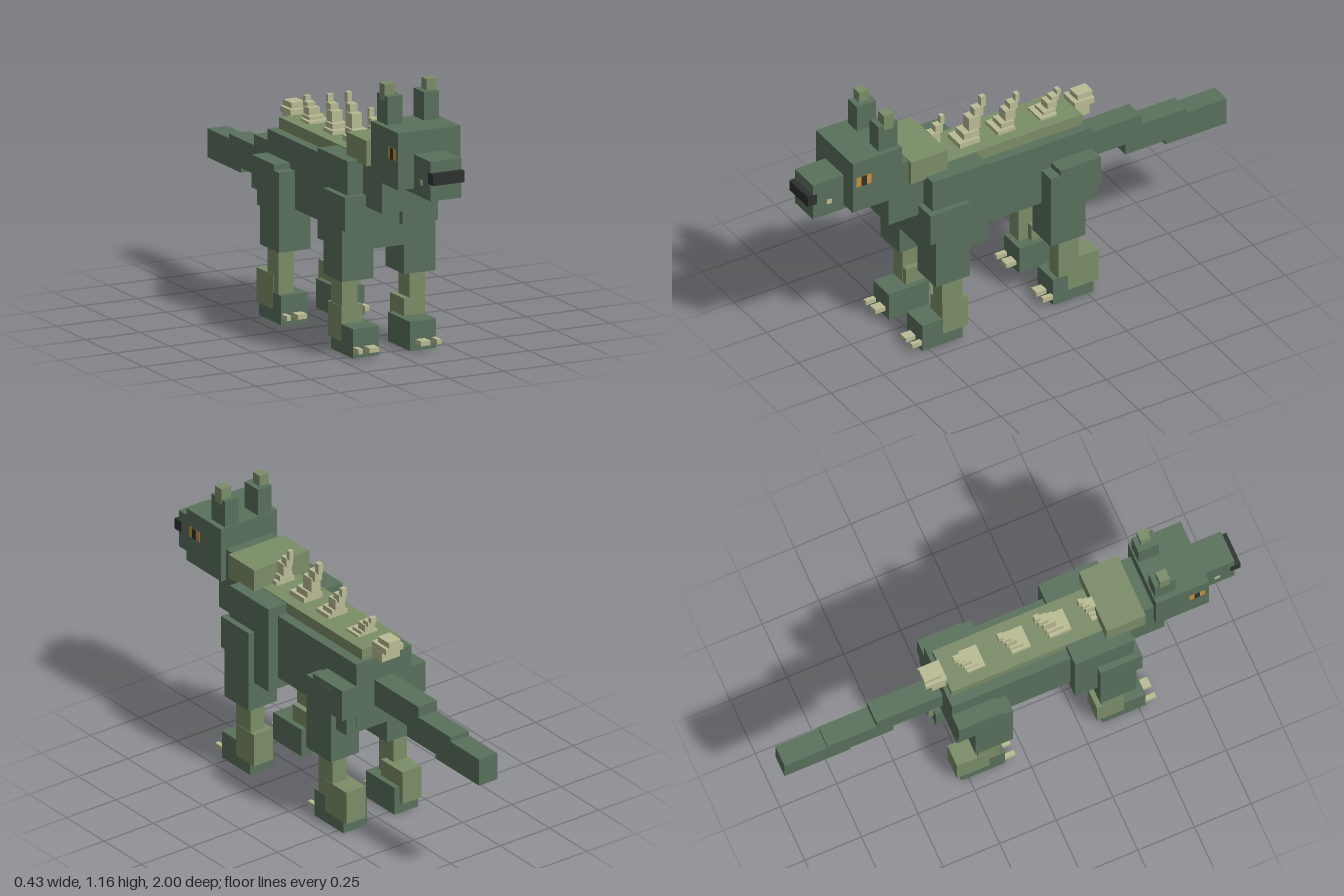
import * as THREE from 'three';

const mat = (name, color) => {
  const m = new THREE.MeshStandardMaterial({ color });
  m.name = name;
  return m;
};

export function createModel() {
  const model = new THREE.Group();
  model.name = 'wolfBeast';
  const fur = mat('darkGreenFur', 0x5a705c);
  const pale = mat('lightGreenFur', 0x7b8d68);
  const bone = mat('bone', 0xbabb94);
  const black = mat('black', 0x2d322e);
  const amber = mat('amber', 0xc8923a);

  // Box given by its min and max on each axis
  const box = (name, material, [x0, x1], [y0, y1], [z0, z1], parent = model) => {
    const mesh = new THREE.Mesh(new THREE.BoxGeometry(x1 - x0, y1 - y0, z1 - z0), material);
    mesh.position.set((x0 + x1) / 2, (y0 + y1) / 2, (z0 + z1) / 2);
    mesh.name = name;
    parent.add(mesh);
  };
  const mid = (name, material, half, y, z, parent) => box(name, material, [-half, half], y, z, parent);
  const pair = (name, material, [x0, x1], y, z) => {
    box(name + 'Left', material, [x0, x1], y, z);
    box(name + 'Right', material, [-x1, -x0], y, z);
  };

  // Head
  mid('head', fur, 0.142, [0.762, 1.0], [0.597, 0.83]);
  mid('snout', fur, 0.07, [0.74, 0.905], [0.692, 0.975]);
  mid('nose', black, 0.072, [0.81, 0.858], [0.957, 1.0]);
  pair('tooth', bone, [0.066, 0.072], [0.79, 0.812], [0.886, 0.91]);
  pair('eye', amber, [0.138, 0.143], [0.88, 0.926], [0.743, 0.812]);
  pair('pupil', black, [0.139, 0.144], [0.88, 0.926], [0.765, 0.789]);
  pair('ear', fur, [0.049, 0.118], [0.98, 1.118], [0.603, 0.693]);
  pair('earTip', pale, [0.073, 0.119], [1.095, 1.165], [0.624, 0.668]);

  // Neck and trunk
  mid('neck', fur, 0.118, [0.62, 0.903], [0.4, 0.645]);
  mid('mane', pale, 0.14, [0.8, 0.906], [0.38, 0.552]);
  mid('chest', fur, 0.188, [0.433, 0.81], [0.22, 0.48]);
  mid('belly', fur, 0.14, [0.483, 0.766], [-0.303, 0.25]);
  mid('pelvis', fur, 0.188, [0.455, 0.53], [-0.302, -0.1]);
  mid('backStripe', pale, 0.097, [0.75, 0.814], [-0.285, 0.39]);

  // Tail, stepping down toward the tip
  [[0.55, 0.667, -0.595, -0.29], [0.5, 0.62, -0.81, -0.52], [0.48, 0.6, -1.0, -0.71]].forEach(
    ([y0, y1, z0, z1], i) => mid('tail' + (i + 1), fur, 0.047 - i * 0.0005, [y0, y1], [z0, z1]));

  // Shoulders and hips
  pair('shoulder', fur, [0.049, 0.213], [0.525, 0.667], [0.318, 0.505]);
  pair('frontThigh', fur, [0.07, 0.214], [0.31, 0.666], [0.319, 0.48]);
  pair('hip', fur, [0.07, 0.212], [0.53, 0.667], [-0.303, -0.11]);
  pair('rearThigh', fur, [0.07, 0.213], [0.31, 0.643], [-0.23, -0.065]);

  // Shins, hocks, feet and claws: shin range, hock range, foot range in z
  const legs = [
    ['front', [0.338, 0.435], [0.315, 0.433], [0.34, 0.53]],
    ['rear', [-0.21, -0.115], [-0.303, -0.16], [-0.282, -0.09]],
  ];
  for (const [end, shin, hock, foot] of legs) {
    pair(end + 'Shin', pale, [0.119, 0.189], [0.08, 0.32], shin);
    pair(end + 'Hock', pale, [0.094, 0.191], [0.05, 0.195], hock);
    pair(end + 'Foot', fur, [0.07, 0.19], [0, 0.122], foot);
    pair(end + 'InnerClaw', bone, [0.096, 0.139], [0.027, 0.047], [foot[1] - 0.02, foot[1] + 0.047]);
    pair(end + 'OuterClaw', bone, [0.169, 0.189], [0.027, 0.047], [foot[1] - 0.02, foot[1] + 0.047]);
  }

  // Stepped back spines; steps are fractions: z from, z to, y from, y to, half width
  const steps = [
    [0, 0.66, -0.05, 0.13, 0.046],
    [0.2, 0.7, 0.13, 0.28, 0.032],
    [0.4, 0.78, 0.28, 0.6, 0.022],
    [0.6, 0.9, 0.55, 0.78, 0.016],
    [0.84, 1, 0.75, 1, 0.01],
  ];
  [[0.43, 0.115, 0.165], [0.265, 0.145, 0.19], [0.085, 0.125, 0.145], [-0.115, 0.12, 0.095]].forEach(
    ([z, length, height], i) => {
      const spine = new THREE.Group();
      spine.name = 'spine' + (i + 1);
      for (const [a, b, c, d, w] of steps) {
        mid('spineStep', bone, w + i * 0.001, [0.812 + c * height, 0.812 + d * height],
          [z - b * length, z - a * length], spine);
      }
      model.add(spine);
    });

  // Low spine hanging over the rump
  mid('rumpSpineBase', bone, 0.046, [0.766, 0.812], [-0.35, -0.27]);
  mid('rumpSpineMiddle', bone, 0.045, [0.81, 0.836], [-0.375, -0.282]);
  mid('rumpSpineTop', bone, 0.03, [0.834, 0.86], [-0.375, -0.302]);

  return model;
}
